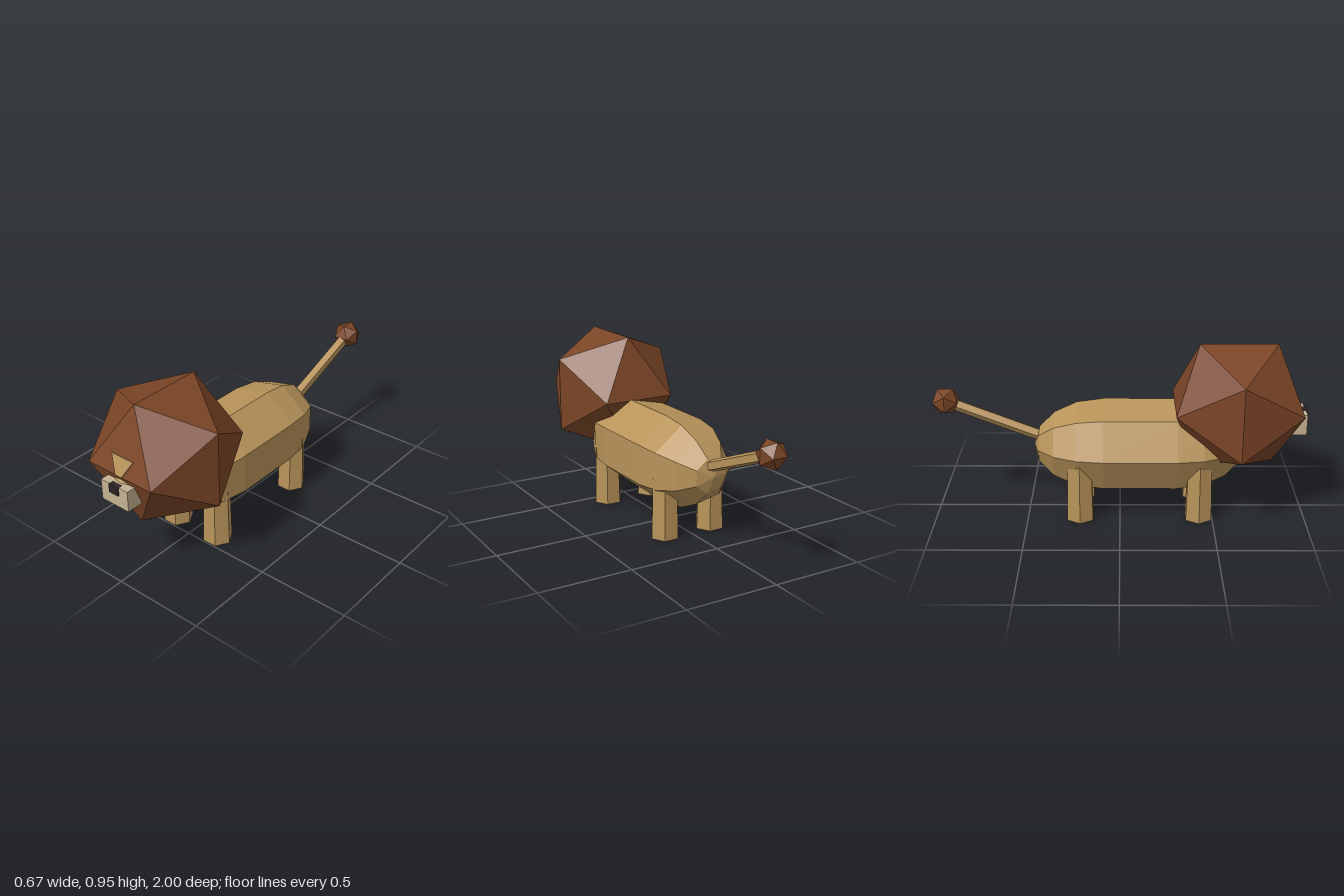
import * as THREE from 'three';

const paint = (name, color) => {
  const m = new THREE.MeshStandardMaterial({ color, flatShading: true });
  m.name = name;
  return m;
};

export function createModel() {
  const model = new THREE.Group();
  model.name = 'lion';
  const fur = paint('tawny fur', 0xb8935a);
  const maneBrown = paint('mane brown', 0x7a4526);
  const cream = paint('muzzle cream', 0xc4b190);
  const dark = paint('nose dark', 0x2e2226);

  const add = (name, geometry, material, x, y, z) => {
    const mesh = new THREE.Mesh(geometry, material);
    mesh.name = name;
    mesh.position.set(x, y, z);
    model.add(mesh);
    return mesh;
  };

  // Body: seven-sided capsule lying along z, with stretched ends
  const bodyShape = new THREE.CapsuleGeometry(0.25, 0.26, 4, 7);
  bodyShape.rotateX(Math.PI / 2).scale(1, 1, 1.5);
  add('body', bodyShape, fur, 0, 0.375, 0.105);

  // Legs: tapered hexagonal posts
  const legShape = new THREE.CylinderGeometry(0.072, 0.08, 0.33, 6, 1, false, Math.PI / 2);
  for (const [end, z] of [['front', 0.425], ['back', -0.215]]) {
    for (const [side, s] of [['Left', 1], ['Right', -1]]) {
      add(end + side + 'Leg', legShape, fur, s * 0.14, 0.165, z);
    }
  }

  // Mane and tail tuft: icosahedra turned to put an edge on top
  const tuft = (name, r, y, z) =>
    add(name, new THREE.IcosahedronGeometry(r).rotateZ(Math.PI / 2), maneBrown, 0, y, z);
  tuft('mane', 0.391, 0.6125, 0.625);
  tuft('tailTuft', 0.079, 0.625, -0.932);

  // Tail: five-sided rod rising backwards
  const tailStart = new THREE.Vector3(0, 0.415, -0.4);
  const tailEnd = new THREE.Vector3(0, 0.625, -0.932);
  const along = tailEnd.clone().sub(tailStart);
  const tail = add('tail',
    new THREE.CylinderGeometry(0.032, 0.032, along.length(), 5, 1, false, -Math.PI / 2),
    fur, 0, 0.52, -0.666);
  tail.quaternion.setFromUnitVectors(new THREE.Vector3(0, 1, 0), along.normalize());

  // Face: brow plate lying on the mane, and the rounded jaw below it
  const browShape = new THREE.Shape([
    new THREE.Vector2(-0.02, 0), new THREE.Vector2(0.02, 0),
    new THREE.Vector2(0.07, 0.095), new THREE.Vector2(-0.07, 0.095),
  ]);
  const brow = add('brow',
    new THREE.ExtrudeGeometry(browShape, { depth: 0.007, bevelEnabled: false }),
    fur, 0, 0.613, 0.956);
  brow.rotation.x = -0.367;
  const jawShape = new THREE.SphereGeometry(1, 8, 6).scale(0.1, 0.105, 0.07);
  add('jaw', jawShape, fur, 0, 0.53, 0.9);

  // Muzzle and nose
  add('muzzle', new THREE.BoxGeometry(0.174, 0.113, 0.1), cream, 0, 0.5235, 0.943);
  add('nose', new THREE.BoxGeometry(0.06, 0.047, 0.03), dark, 0, 0.558, 0.985);

  return model;
}
